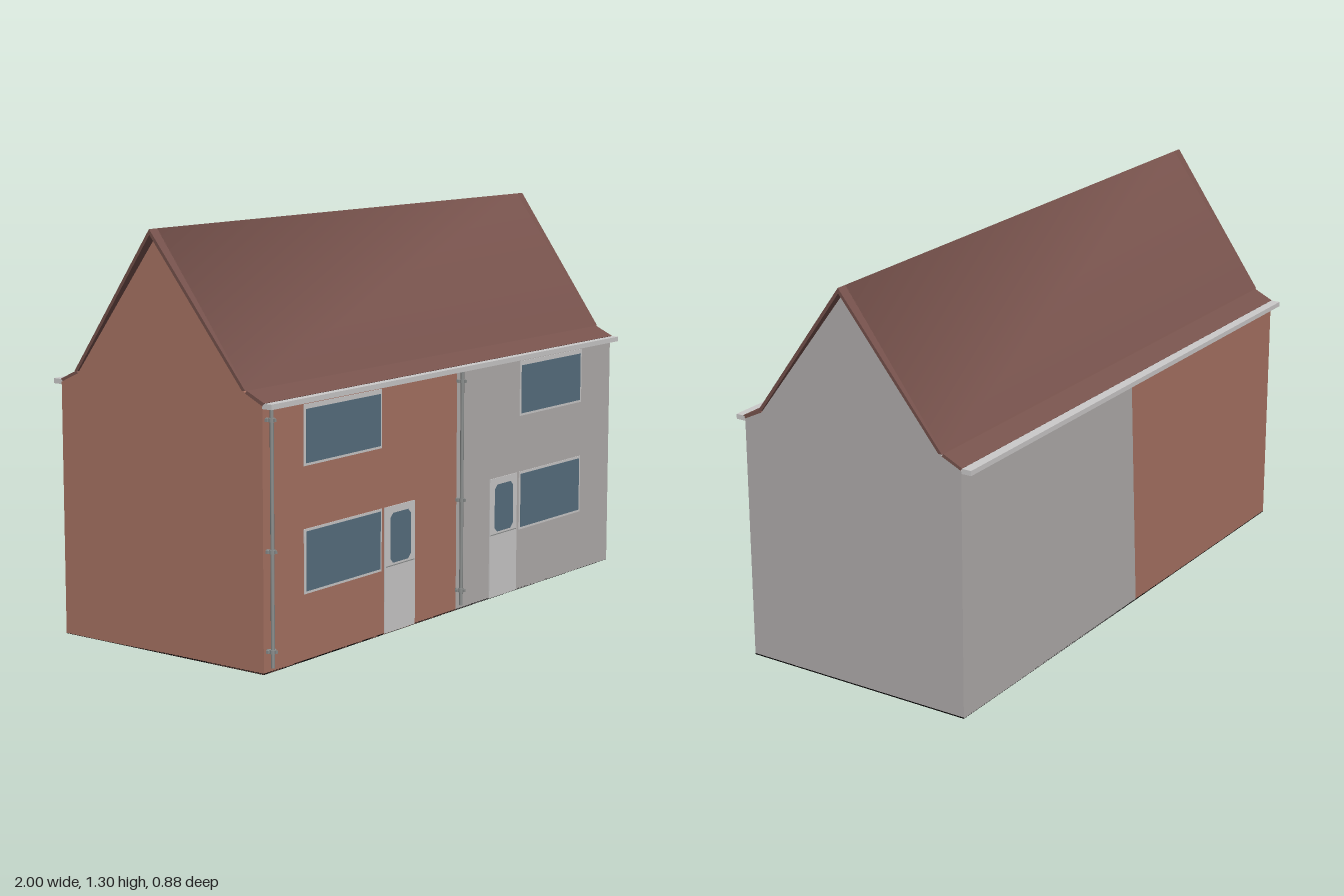
import * as THREE from 'three';

const mat = (name, color, side = THREE.FrontSide) => {
  const m = new THREE.MeshStandardMaterial({ color, side });
  m.name = name;
  return m;
};

export function createModel() {
  const house = new THREE.Group();
  house.name = 'semiDetachedHouse';
  const brick = mat('brick', 0xa87363);
  const render = mat('greyRender', 0xb2aead);
  const trim = mat('lightTrim', 0xcccaca);
  const glass = mat('blueGlass', 0x587080);
  const tiles = mat('roofTiles', 0x78534d, THREE.DoubleSide);
  const pipe = mat('pipeGrey', 0x8c8f8e);
  const dark = mat('darkFloor', 0x080808);

  const END = 0.965, FRONT = 0.4, BACK = -0.405;

  const add = (name, geometry, material, x = 0, y = 0, z = 0, parent = house) => {
    const mesh = new THREE.Mesh(geometry, material);
    mesh.name = name;
    mesh.position.set(x, y, z);
    parent.add(mesh);
    return mesh;
  };

  // Extrude a [z, y] profile along x, then place each vertex by xRule(t, y, z) with t from 0 to 1
  const prism = (points, xRule) => {
    const shape = new THREE.Shape(points.map(([z, y]) => new THREE.Vector2(-z, y)));
    const g = new THREE.ExtrudeGeometry(shape, { depth: 1, bevelEnabled: false });
    g.rotateY(Math.PI / 2);
    const p = g.attributes.position;
    for (let i = 0; i < p.count; i++) p.setX(i, xRule(p.getX(i), p.getY(i), p.getZ(i)));
    g.computeVertexNormals();
    return g;
  };

  // Two halves of the house; the joint is slightly skewed at the back
  const wall = [[FRONT, 0], [FRONT, 0.8], [0.335, 0.832], [0, 1.281], [-0.335, 0.832], [BACK, 0.8], [BACK, 0]];
  const joint = (y, z) => (z > 0.3 ? 0.02 : y < 0.1 ? -0.05 : 0);
  add('brickHalf', prism(wall, (t, y, z) => (t < 0.5 ? -END : joint(y, z))), brick);
  add('renderedHalf', prism(wall, (t, y, z) => (t < 0.5 ? joint(y, z) : END)), render);
  add('floor', new THREE.BoxGeometry(END * 2, 0.004, FRONT - BACK), dark, 0, 0.001, (FRONT + BACK) / 2);

  // Main roof: a sheet folded over the ridge, shaded smoothly across it
  const RIDGE = 1.295, EAVE = 0.84, HALF = 0.342;
  const roof = new THREE.PlaneGeometry(END * 2, 2, 1, 2).rotateX(-Math.PI / 2);
  const rp = roof.attributes.position;
  for (let i = 0; i < rp.count; i++) {
    const s = rp.getZ(i);
    rp.setXYZ(i, rp.getX(i), RIDGE - (RIDGE - EAVE) * Math.abs(s), s * HALF);
  }
  roof.computeVertexNormals();
  add('roof', roof, tiles);

  // Verges: tapering overhangs, widest at the ridge
  const chevron = [[HALF, EAVE], [0, RIDGE], [-HALF, EAVE], [-0.329, EAVE], [0, 1.278], [0.329, EAVE]];
  const reach = (y) => 0.972 + 0.028 * (y - EAVE) / (RIDGE - EAVE);
  add('leftVerge', prism(chevron, (t, y) => (t < 0.5 ? END - 0.002 : reach(y))), tiles);
  add('rightVerge', prism(chevron, (t, y) => (t < 0.5 ? -reach(y) : 2e-3 - END)), tiles);

  // Flared eaves and gutters on both long sides
  for (const s of [1, -1]) {
    const side = s > 0 ? 'front' : 'back';
    const shift = s > 0 ? 0 : -0.005;
    const flare = [[HALF, EAVE], [0.408, 0.809], [0.4, 0.8], [0.335, 0.832]].map(([z, y]) => [s * z, y]);
    if (s < 0) flare.reverse();
    add(side + 'Eave', prism(flare, (t) => (t * 2 - 1) * END), tiles);
    add(side + 'Gutter', new THREE.BoxGeometry(END * 2, 0.016, 0.034), trim, 0, 0.8, s * 0.417 + shift);
  }

  // Thin plate laid on the front wall
  const plate = (name, m, x0, x1, y0, y1, z, parent) =>
    add(name, new THREE.BoxGeometry(x1 - x0, y1 - y0, 0.004), m, (x0 + x1) / 2, (y0 + y1) / 2, FRONT + z, parent);

  // Windows and doors, mirrored over the two halves
  for (const s of [-1, 1]) {
    const front = new THREE.Group();
    front.name = s < 0 ? 'brickFrontOpenings' : 'renderedFrontOpenings';
    house.add(front);
    const span = (a, b) => (s > 0 ? [a, b] : [-b, -a]);
    for (const [y0, y1, label] of [[0.6, 0.782, 'upper'], [0.21, 0.405, 'lower']]) {
      const top = label === 'upper' ? 0.015 : 0.008;
      plate(label + 'WindowFrame', trim, ...span(0.388, 0.775), y0 - 0.004, y1, 0, front);
      plate(label + 'WindowGlass', glass, ...span(0.396, 0.765), y0 + 0.004, y1 - top, 0.002, front);
    }
    plate('door', trim, ...span(0.212, 0.373), 0.002, 0.405, 0.001, front);
    // Door pane with cut corners
    const w = 0.055, h = 0.08, c = 0.015;
    const pane = new THREE.Shape([[-w + c, -h], [w - c, -h], [w, -h + c], [w, h - c], [w - c, h],
      [-w + c, h], [-w, h - c], [-w, -h + c]].map(([x, y]) => new THREE.Vector2(x, y)));
    add('doorGlass', new THREE.ShapeGeometry(pane), glass, s * 0.292, 0.303, FRONT + 0.005, front);
    plate('doorRail', pipe, ...span(0.217, 0.368), 0.213, 0.216, 0.002, front);
  }

  // Downpipes with wall brackets
  for (const x of [-0.948, 0.02]) {
    const drain = new THREE.Group();
    drain.name = 'downpipe';
    drain.position.set(x, 0, 0.421);
    house.add(drain);
    add('pipe', new THREE.CylinderGeometry(0.006, 0.006, 0.77, 10), pipe, 0, 0.405, 0, drain);
    for (const y of [0.07, 0.37, 0.76]) {
      add('collar', new THREE.CylinderGeometry(0.01, 0.01, 0.012, 10), pipe, 0, y, 0, drain);
      add('bracket', new THREE.BoxGeometry(0.034, 0.009, 0.008), pipe, 0, y, -0.008, drain);
      add('stay', new THREE.BoxGeometry(0.008, 0.009, 0.036), pipe, 0, y, -0.003, drain);
    }
  }
  return house;
}
